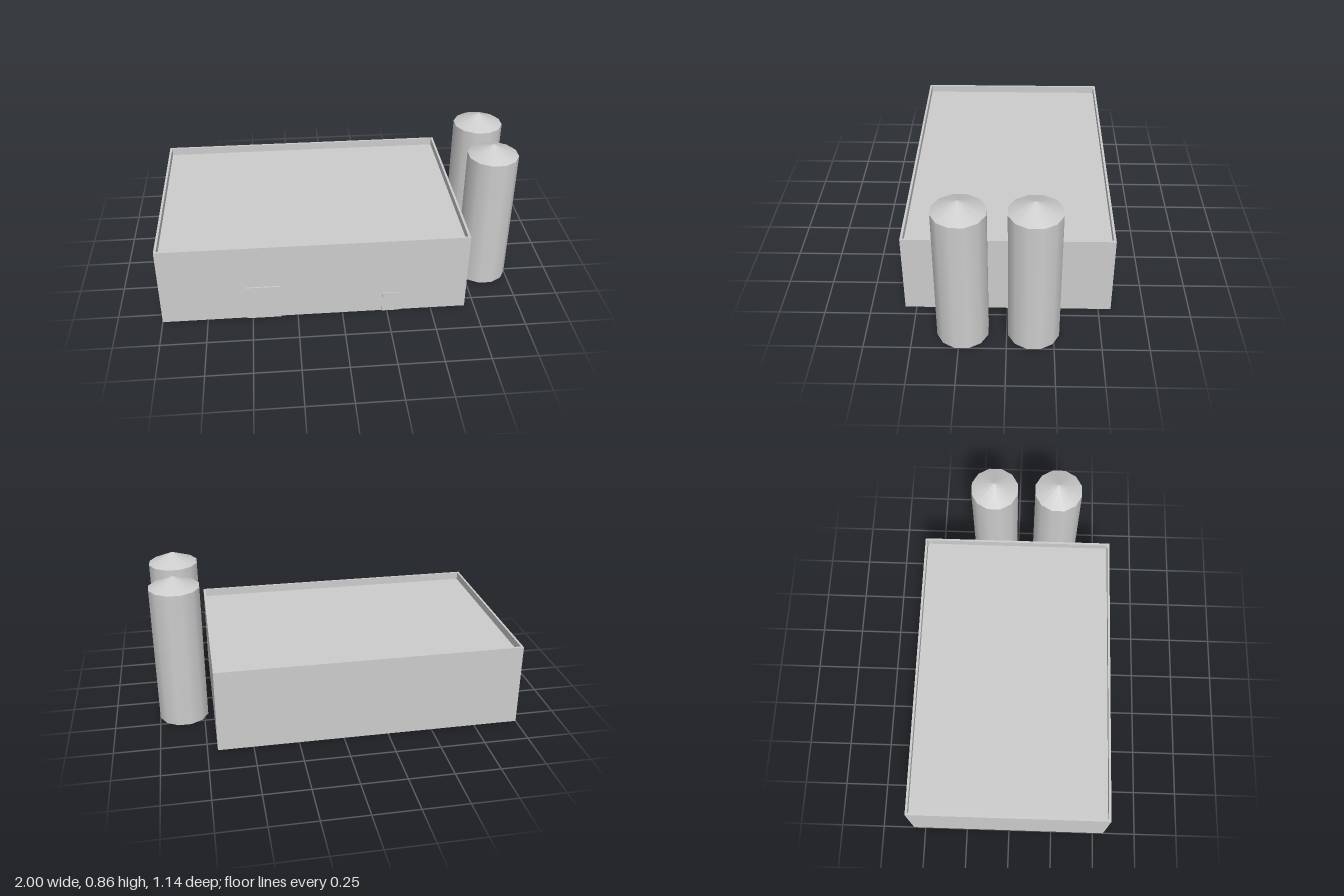
import * as THREE from 'three';

export function createModel() {
  const model = new THREE.Group();
  const grey = new THREE.MeshStandardMaterial({ color: 0xcccccc });
  grey.name = 'concrete grey';

  const add = (name, geometry, x, y, z, parent = model) => {
    const mesh = new THREE.Mesh(geometry, grey);
    mesh.name = name;
    mesh.position.set(x, y, z);
    parent.add(mesh);
    return mesh;
  };

  // Hall footprint
  const left = -1, right = 0.695, back = -0.569, front = 0.563;
  const height = 0.473, roofY = 0.428, wall = 0.013;
  const w = right - left, d = front - back;
  const cx = (left + right) / 2, cz = (front + back) / 2;

  const rect = (target, hw, hd) => {
    target.moveTo(-hw, -hd);
    target.lineTo(hw, -hd);
    target.lineTo(hw, hd);
    target.lineTo(-hw, hd);
    target.closePath();
    return target;
  };

  // Outer walls rising to a thin parapet
  const outline = rect(new THREE.Shape(), w / 2, d / 2);
  outline.holes.push(rect(new THREE.Path(), w / 2 - wall, d / 2 - wall));
  const walls = new THREE.ExtrudeGeometry(outline, { depth: height, bevelEnabled: false });
  walls.rotateX(-Math.PI / 2);
  add('walls', walls, cx, 0, cz);

  // Flat roof sunk behind the parapet, and the floor
  const inner = [w - 2 * wall, d - 2 * wall];
  add('roof', new THREE.PlaneGeometry(...inner).rotateX(-Math.PI / 2), cx, roofY, cz);
  add('floor', new THREE.PlaneGeometry(...inner).rotateX(Math.PI / 2), cx, 0, cz);

  // Thin door plates on the front wall
  add('largeDoor', new THREE.BoxGeometry(0.19, 0.212, 0.007), -0.437, 0.106, front + 0.0035);
  add('smallDoor', new THREE.BoxGeometry(0.095, 0.125, 0.005), 0.27, 0.0625, front + 0.0025);

  // Twelve-sided silos with conical caps, flat sides facing the axes
  const sides = 12, eave = 0.795, peak = 0.857;
  const radius = 0.136 / Math.cos(Math.PI / sides);
  for (const z of [0.233, -0.143]) {
    const silo = new THREE.Group();
    silo.name = 'silo';
    silo.position.set(0.864, 0, z);
    silo.rotation.y = Math.PI / sides;
    add('siloBody', new THREE.CylinderGeometry(radius, radius, eave, sides), 0, eave / 2, 0, silo);
    add('siloCap', new THREE.ConeGeometry(radius, peak - eave, sides, 1, true), 0, (eave + peak) / 2, 0, silo);
    model.add(silo);
  }

  return model;
}
